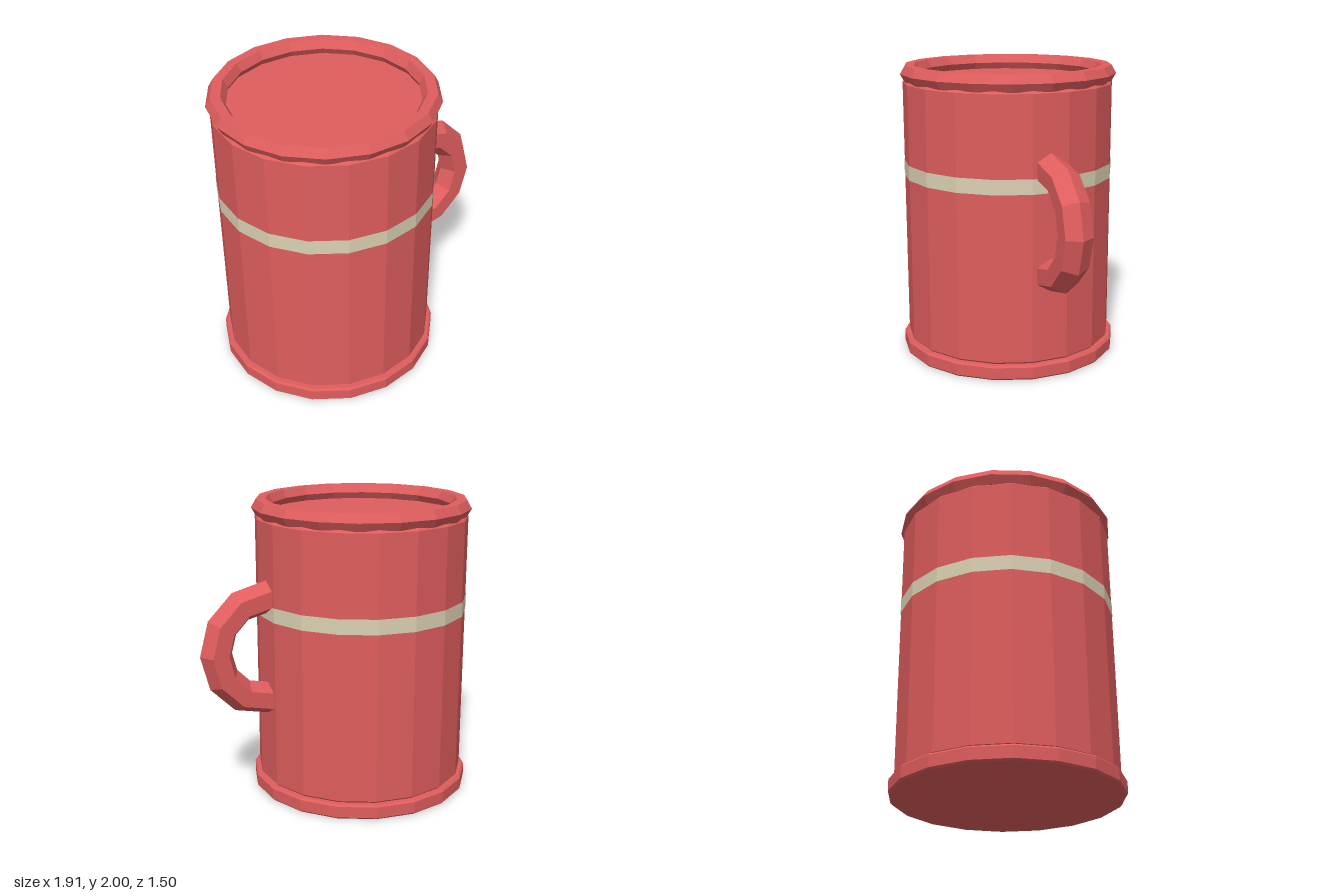
import * as THREE from 'three';

const SIDES = 18;

export function createModel() {
  const red = new THREE.MeshStandardMaterial({ color: 0xdf5d5d, flatShading: true });
  red.name = 'red enamel';
  const cream = new THREE.MeshStandardMaterial({ color: 0xdcd1b5, flatShading: true, side: THREE.DoubleSide });
  cream.name = 'cream stripe';

  const model = new THREE.Group();
  model.name = 'mug';
  const vessel = new THREE.Group();
  vessel.name = 'vessel';
  vessel.position.x = -0.22;
  model.add(vessel);

  const add = (parent, name, geometry, material) => {
    const mesh = new THREE.Mesh(geometry, material);
    mesh.name = name;
    parent.add(mesh);
    return mesh;
  };

  // Closed drum with a small bevel at both ends
  const drum = (r, y0, y1, b) => new THREE.LatheGeometry(
    [[0, y0], [r - b, y0], [r, y0 + b], [r, y1 - b], [r - b, y1], [0, y1]]
      .map(([x, y]) => new THREE.Vector2(x, y)), SIDES);

  add(vessel, 'base', drum(0.75, 0, 0.1, 0.012), red);
  add(vessel, 'body', drum(0.716, 0.095, 1.9, 0.018), red);

  // Thin painted band around the body
  const stripe = add(vessel, 'stripe', new THREE.CylinderGeometry(0.719, 0.719, 0.1, SIDES, 1, true), cream);
  stripe.position.y = 1.296;

  // Hexagonal ring around the lip
  const rim = add(vessel, 'rim', new THREE.TorusGeometry(0.672, 0.0635, 6, SIDES), red);
  rim.rotation.x = Math.PI / 2;
  rim.position.y = 1.945;

  // Half-ring handle, its ends pushed slightly into the body
  const arch = new THREE.TorusGeometry(0.351, 0.11, 6, 6, Math.PI);
  arch.rotateZ(-Math.PI / 2);
  const p = arch.attributes.position;
  for (let i = 0; i < p.count; i++) if (p.getX(i) < 0.001) p.setX(i, -0.025);
  const handle = add(model, 'handle', arch, red);
  handle.position.set(0.493, 1.048, 0);

  return model;
}
